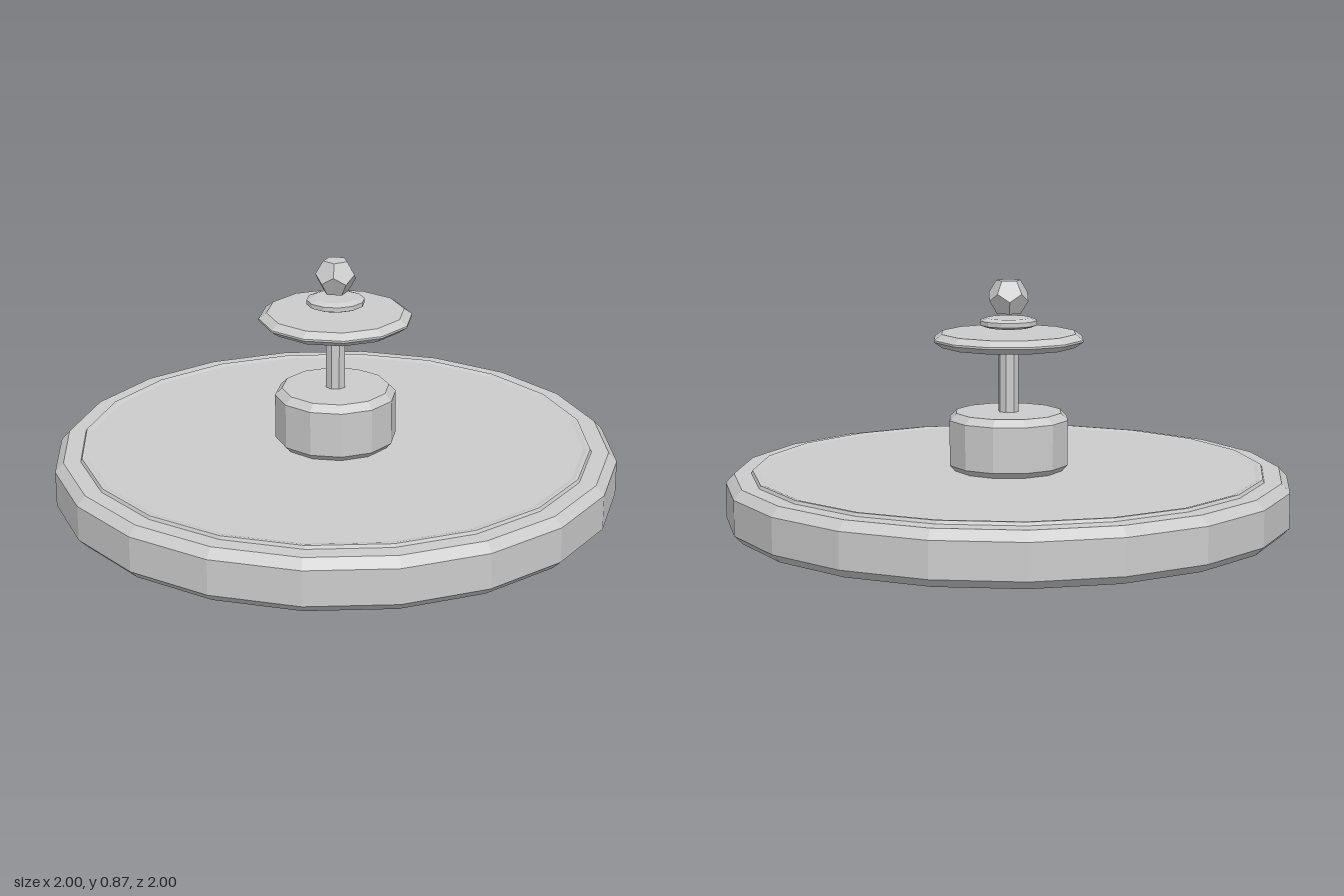
import * as THREE from 'three';

export function createModel() {
  const model = new THREE.Group();
  const grey = new THREE.MeshStandardMaterial({ color: 0xcccccc, flatShading: true });
  grey.name = 'light grey';

  // Faceted solid turned around the y axis from a bottom-to-top profile
  function turned(name, sides, profile) {
    const points = profile.map(([r, y]) => new THREE.Vector2(r, y));
    const mesh = new THREE.Mesh(new THREE.LatheGeometry(points, sides), grey);
    mesh.name = name;
    model.add(mesh);
  }

  // Wide chamfered base with a thin raised lip around its top
  turned('base', 20, [
    [0, 0], [0.97, 0], [1, 0.03], [1, 0.155], [0.97, 0.187], [0.91, 0.187],
    [0.905, 0.198], [0.895, 0.198], [0.88, 0.194], [0, 0.194],
  ]);

  // Central hub
  turned('hub', 12, [
    [0, 0.194], [0.195, 0.194], [0.215, 0.215], [0.215, 0.375], [0.19, 0.4], [0, 0.4],
  ]);

  // Thin stem with a tapered tip
  turned('stem', 8, [[0, 0.39], [0.036, 0.39], [0.036, 0.612], [0.012, 0.636], [0, 0.636]]);

  // Upper plate and the small collar above it
  turned('upperPlate', 12, [
    [0, 0.633], [0.24, 0.633], [0.27, 0.654], [0.27, 0.661], [0.242, 0.681], [0, 0.681],
  ]);
  turned('collar', 12, [
    [0, 0.699], [0.078, 0.699], [0.102, 0.708], [0.102, 0.724], [0.078, 0.733], [0, 0.733],
  ]);

  // Twelve-sided finial resting on one flat face
  const finialGeometry = new THREE.DodecahedronGeometry(0.073);
  finialGeometry.rotateX(-Math.atan(2 / (1 + Math.sqrt(5))));
  finialGeometry.rotateY(Math.PI / 2);
  const finial = new THREE.Mesh(finialGeometry, grey);
  finial.name = 'finial';
  finial.position.y = 0.807;
  model.add(finial);

  return model;
}
